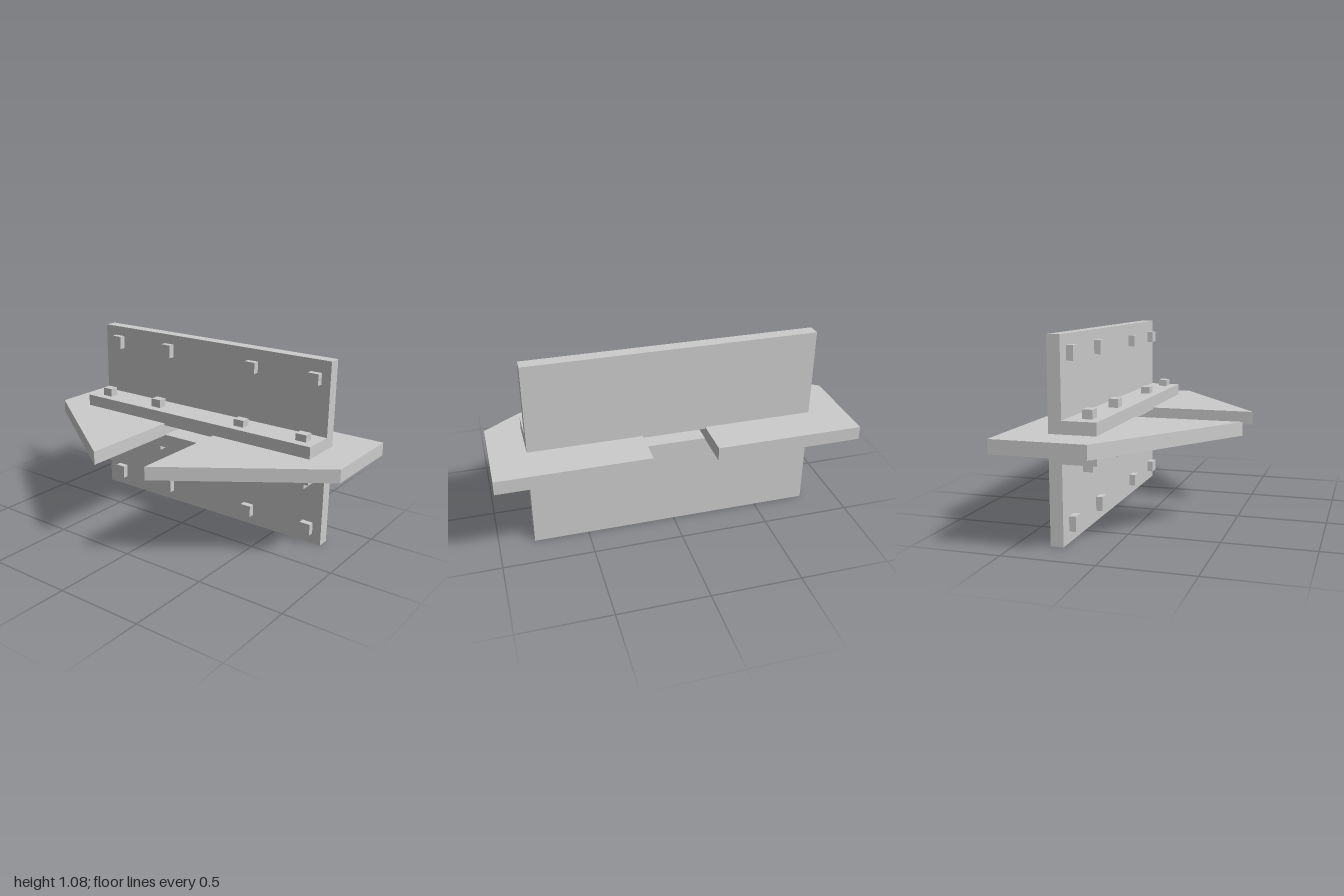
import * as THREE from 'three';

const material = new THREE.MeshStandardMaterial({ color: 0xcccccc, flatShading: true });

// Prism from a 2D outline, extruded along local z
function prism(name, points, depth) {
  const shape = new THREE.Shape(points.map(([x, y]) => new THREE.Vector2(x, y)));
  const geometry = new THREE.ExtrudeGeometry(shape, { depth, bevelEnabled: false });
  const mesh = new THREE.Mesh(geometry, material);
  mesh.name = name;
  return mesh;
}

// Box given by its limits on each axis
function block(name, [x0, x1], [y0, y1], [z0, z1]) {
  const mesh = new THREE.Mesh(new THREE.BoxGeometry(x1 - x0, y1 - y0, z1 - z0), material);
  mesh.position.set((x0 + x1) / 2, (y0 + y1) / 2, (z0 + z1) / 2);
  mesh.name = name;
  return mesh;
}

export function createModel() {
  const group = new THREE.Group();
  group.name = 'bracedJoint';

  // Two L-shaped angle bars, back to back with a gap for the plates
  const angles = [
    ['upperAngle', [[0.062, 0.57], [0.318, 0.57], [0.318, 1.075], [0.247, 1.075], [0.247, 0.65], [0.062, 0.65]]],
    ['lowerAngle', [[0.062, 0.43], [0.247, 0.43], [0.247, 0], [0.318, 0], [0.318, 0.51], [0.062, 0.51]]],
  ];
  for (const [name, outline] of angles) {
    const bar = prism(name, outline, 1.6);
    bar.position.z = -0.797;
    group.add(bar);
  }

  // Tapered gusset plates, mirrored front to back
  for (const side of [1, -1]) {
    const outline = [[-0.548, 0.178], [0.547, 0.178], [0.547, 1], [0.035, 1]].map(([x, z]) => [x, -side * z]);
    const plate = prism(side > 0 ? 'frontGusset' : 'backGusset', outline, 0.076);
    plate.rotation.x = -Math.PI / 2;
    plate.position.y = 0.505;
    group.add(plate);
  }

  // Square bolt heads on both legs of each angle
  for (const z of [-0.685, -0.288, 0.315, 0.716]) {
    const rise = z < 0 ? 0.013 : 0;
    const span = [z - 0.033, z + 0.033];
    group.add(
      block('upperFlangeBolt', [0.113, 0.167], [0.645, 0.69 + rise * 0.7], span),
      block('lowerFlangeBolt', [0.113, 0.167], [0.38, 0.435], span),
      block('upperWebBolt', [0.21, 0.252], [0.94, 1.005 + rise], span),
      block('lowerWebBolt', [0.21, 0.252], [0.06, 0.128 + rise], span),
    );
  }
  return group;
}
